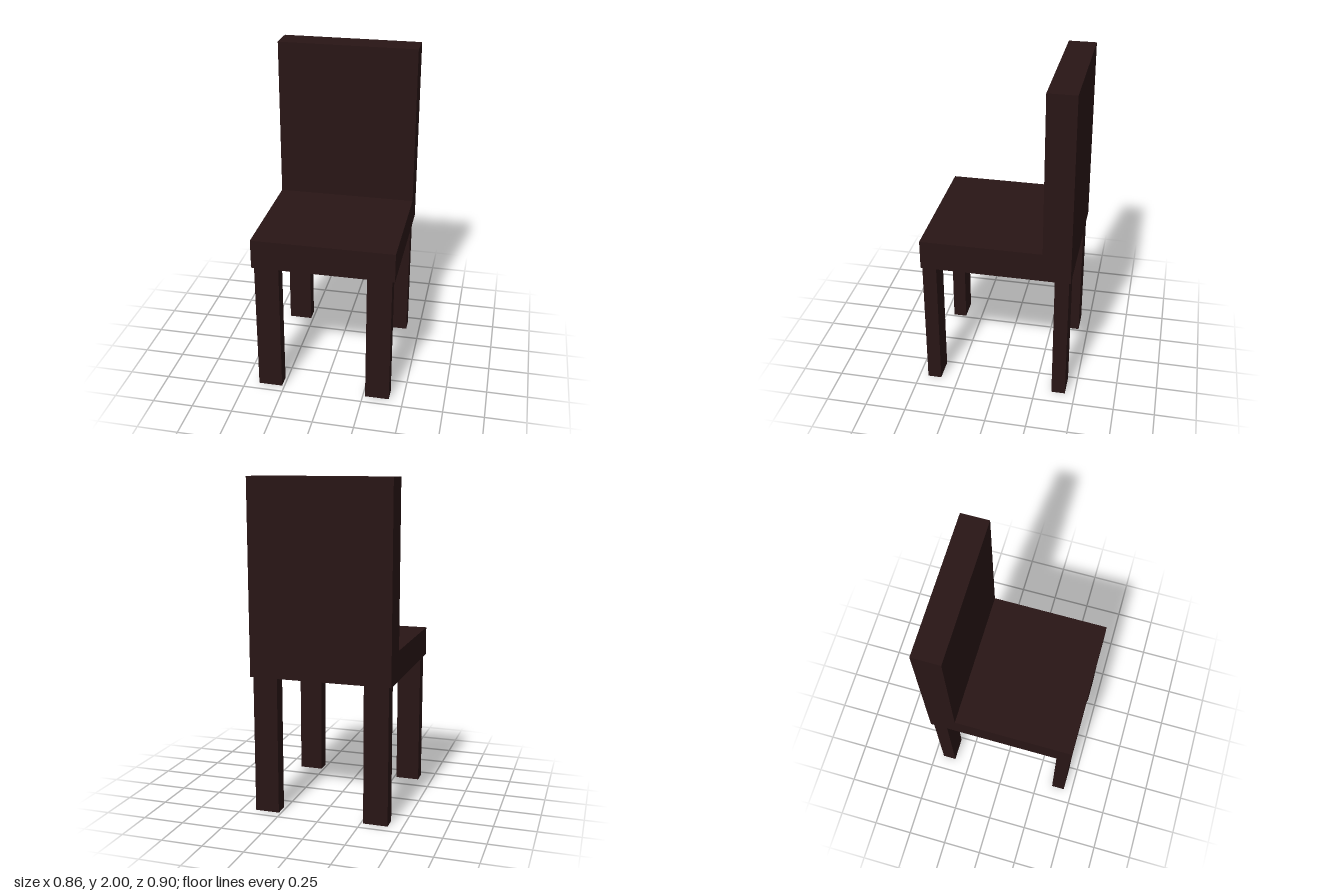
import * as THREE from 'three';

export function createModel() {
  const group = new THREE.Group();
  const wood = new THREE.MeshStandardMaterial({ color: 0x281515, flatShading: true });

  // Seat and backrest: one L-shaped side profile (z, y) extruded across the width
  const width = 0.858, seatBottom = 0.836, seatTop = 1.016;
  const profile = new THREE.Shape([
    [-0.45, seatBottom], [0.45, seatBottom], [0.45, seatTop],
    [-0.282, seatTop], [-0.282, 2], [-0.45, 2],
  ].map(([z, y]) => new THREE.Vector2(-z, y)));
  const bodyGeometry = new THREE.ExtrudeGeometry(profile, { depth: width, bevelEnabled: false });
  bodyGeometry.translate(0, 0, -width / 2).rotateY(Math.PI / 2);
  const body = new THREE.Mesh(bodyGeometry, wood);
  body.name = 'seatAndBackrest';
  group.add(body);

  // Four legs, wider than deep, set slightly in from the seat edges
  const legGeometry = new THREE.BoxGeometry(0.148, seatBottom, 0.085);
  for (const [end, z] of [['front', 0.402], ['back', -0.397]]) {
    for (const [side, x] of [['Left', 0.339], ['Right', -0.339]]) {
      const leg = new THREE.Mesh(legGeometry, wood);
      leg.name = `${end}${side}Leg`;
      leg.position.set(x, seatBottom / 2, z);
      group.add(leg);
    }
  }
  return group;
}
